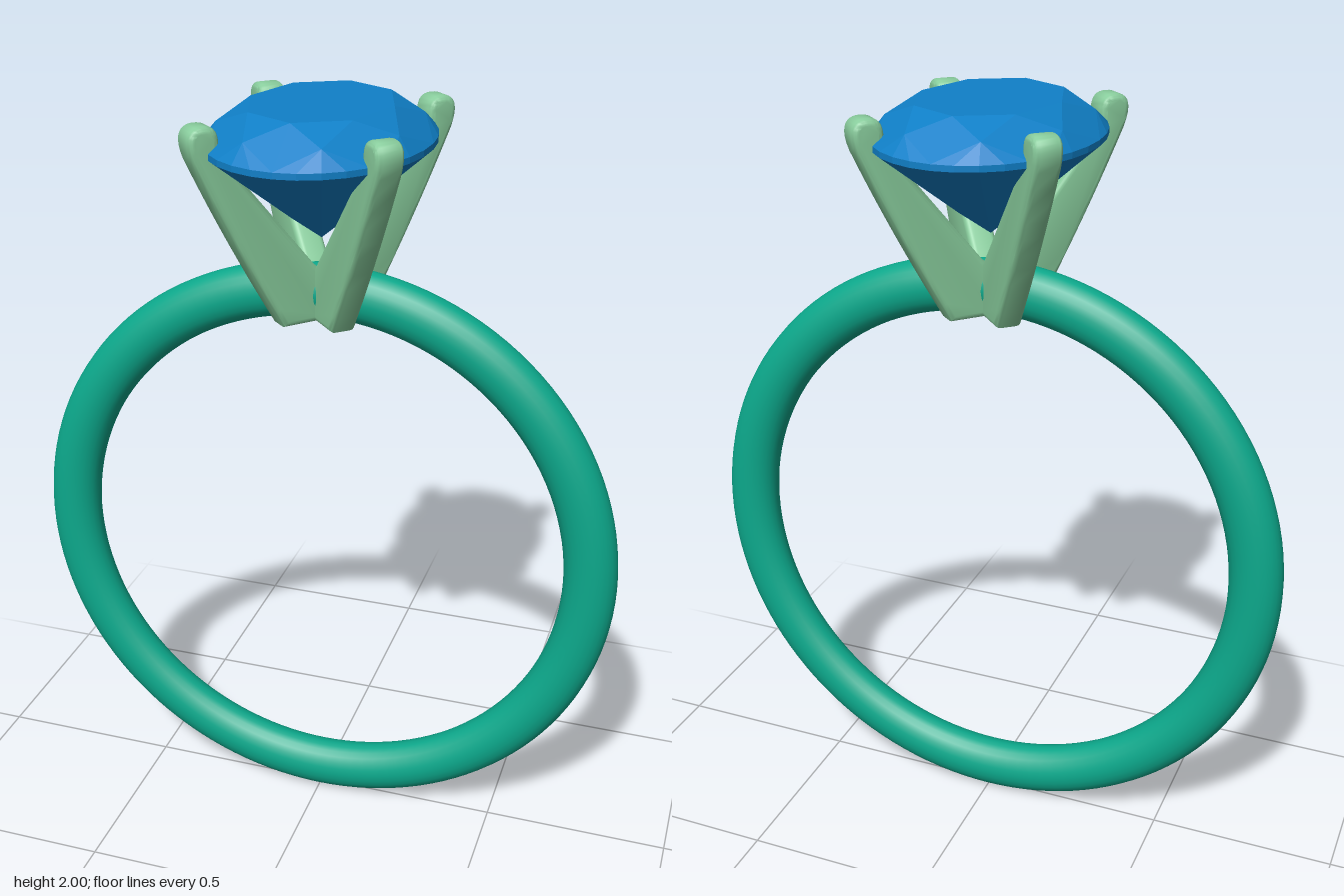
import * as THREE from 'three';
import { toCreasedNormals } from 'three/addons/utils/BufferGeometryUtils.js';
import { ConvexGeometry } from 'three/addons/geometries/ConvexGeometry.js';

const material = (color, flatShading = false) => new THREE.MeshStandardMaterial({ color, flatShading });

// Oval brilliant-cut stone: rings of points on an ellipse, closed by a hull
function createGem() {
  const RX = 0.275, RZ = 0.355;
  const TOP = 2, GIRDLE_TOP = 1.92, GIRDLE_BOTTOM = 1.905, CULET = 1.665;
  const table = 0.65, star = 0.88, lower = 0.35;
  const points = [new THREE.Vector3(0, CULET, 0)];
  const ring = (count, offset, r, y) => {
    for (let i = 0; i < count; i++) {
      const a = ((i + offset) / count) * Math.PI * 2;
      points.push(new THREE.Vector3(Math.cos(a) * r * RX, y, Math.sin(a) * r * RZ));
    }
  };
  // Heights that keep the main kite facets flat
  const c = Math.cos(Math.PI / 8);
  const starY = GIRDLE_TOP + (TOP - GIRDLE_TOP) * (1 - star * c) / (1 - table);
  const lowerY = GIRDLE_BOTTOM - (GIRDLE_BOTTOM - CULET) * (1 - lower * c);
  ring(8, 0, table, TOP);
  ring(8, 0.5, star, starY);
  ring(32, 0, 1, GIRDLE_TOP);
  ring(32, 0, 1, GIRDLE_BOTTOM);
  ring(8, 0.5, lower, lowerY);
  return new ConvexGeometry(points);
}

// Tapering claw blade, drawn as radial distance against height
function createProng() {
  const bevel = 0.015, halfWidth = 0.036;
  const shape = new THREE.Shape();
  shape.moveTo(0, 1.46);
  shape.lineTo(0.122, 1.46);
  shape.quadraticCurveTo(0.25, 1.68, 0.352, 1.9);
  shape.bezierCurveTo(0.378, 1.965, 0.352, 1.982, 0.325, 1.982);
  shape.bezierCurveTo(0.29, 1.982, 0.282, 1.965, 0.284, 1.915);
  shape.lineTo(0.035, 1.61);
  shape.lineTo(0, 1.58);
  const geometry = new THREE.ExtrudeGeometry(shape, {
    depth: 2 * (halfWidth - bevel), bevelEnabled: true, bevelThickness: bevel,
    bevelSize: bevel, bevelOffset: -bevel, bevelSegments: 4, curveSegments: 10,
  });
  geometry.translate(0, 0, bevel - halfWidth);
  return toCreasedNormals(geometry, 0.7);
}

export function createModel() {
  const model = new THREE.Group();

  // Band, slightly narrower than it is thick
  const band = new THREE.Mesh(new THREE.TorusGeometry(0.73, 0.07, 24, 128), material(0x0ca88b));
  band.name = 'band';
  band.scale.z = 0.82;
  band.position.y = 0.8;
  model.add(band);

  // Four claws
  const setting = new THREE.Group();
  setting.name = 'setting';
  const prongGeometry = createProng();
  const prongMaterial = material(0x88cc9c);
  const angle = Math.atan2(0.243, 0.226);
  for (const a of [angle, Math.PI - angle, Math.PI + angle, -angle]) {
    const prong = new THREE.Mesh(prongGeometry, prongMaterial);
    prong.name = 'prong';
    prong.rotation.y = a;
    setting.add(prong);
  }
  model.add(setting);

  const gem = new THREE.Mesh(createGem(), material(0x1080c8, true));
  gem.name = 'gemstone';
  model.add(gem);

  return model;
}
